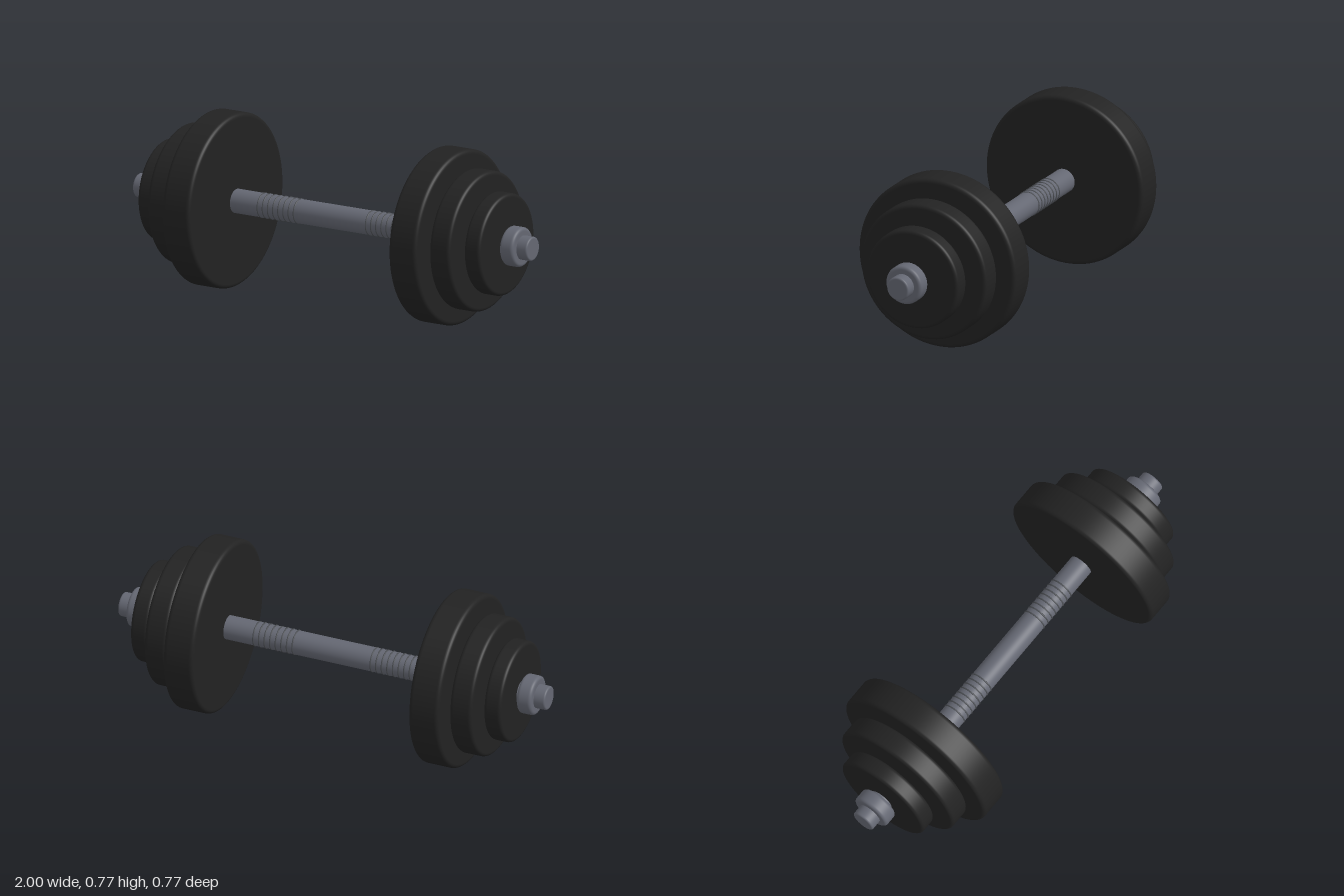
import * as THREE from 'three';

const AXIS_Y = 0.383;

// Solid disc along x with rounded rims; holding points keep the flat faces flat.
function roundedDisc(radius, width, round, segments = 96) {
  const h = width / 2;
  const pts = [new THREE.Vector2(0, -h), new THREE.Vector2(radius - round - 0.002, -h)];
  const steps = 6;
  for (const side of [-1, 1]) {
    for (let i = 0; i <= steps; i++) {
      const t = (i / steps) * Math.PI / 2;
      const a = side < 0 ? t - Math.PI / 2 : t;
      pts.push(new THREE.Vector2(
        radius - round + Math.cos(a) * round,
        side * (h - round) + Math.sin(a) * round
      ));
    }
    if (side < 0) {
      pts.push(new THREE.Vector2(radius, -h + round + 0.002));
      pts.push(new THREE.Vector2(radius, h - round - 0.002));
    }
  }
  pts.push(new THREE.Vector2(radius - round - 0.002, h), new THREE.Vector2(0, h));
  return new THREE.LatheGeometry(pts, segments).rotateZ(-Math.PI / 2);
}

export function createModel() {
  const model = new THREE.Group();
  model.name = 'dumbbell';

  const rubber = new THREE.MeshStandardMaterial({ color: 0x222222 });
  rubber.name = 'black rubber';
  const steel = new THREE.MeshStandardMaterial({ color: 0x646772 });
  steel.name = 'grey steel';
  const grooveGrey = new THREE.MeshStandardMaterial({ color: 0x4b4e53 });
  grooveGrey.name = 'dark grip grey';

  const add = (name, geometry, material, x) => {
    const mesh = new THREE.Mesh(geometry, material);
    mesh.name = name;
    mesh.position.set(x, AXIS_Y, 0);
    model.add(mesh);
  };

  // Full-length bar
  add('bar', roundedDisc(0.053, 2, 0.008, 48), steel, 0);

  // Plates and end collars: name, inner x, outer x, radius, rim rounding, material
  const discs = [
    ['largePlate', 0.505, 0.645, 0.383, 0.018, rubber],
    ['mediumPlate', 0.664, 0.767, 0.306, 0.016, rubber],
    ['smallPlate', 0.788, 0.868, 0.223, 0.015, rubber],
    ['collar', 0.881, 0.949, 0.087, 0.014, steel],
  ];
  for (const [name, inner, outer, radius, round, material] of discs) {
    const geometry = roundedDisc(radius, outer - inner, round);
    for (const side of [1, -1]) {
      add((side > 0 ? 'left ' : 'right ') + name, geometry, material, side * (inner + outer) / 2);
    }
  }

  // Fine grip rings in two bands on the handle
  const ring = new THREE.TorusGeometry(0.0525, 0.0035, 8, 48).rotateY(Math.PI / 2);
  for (const side of [1, -1]) {
    for (let i = 0; i < 8; i++) {
      add('gripRing', ring, grooveGrey, side * (0.183 + i * 0.0262));
    }
  }

  return model;
}
